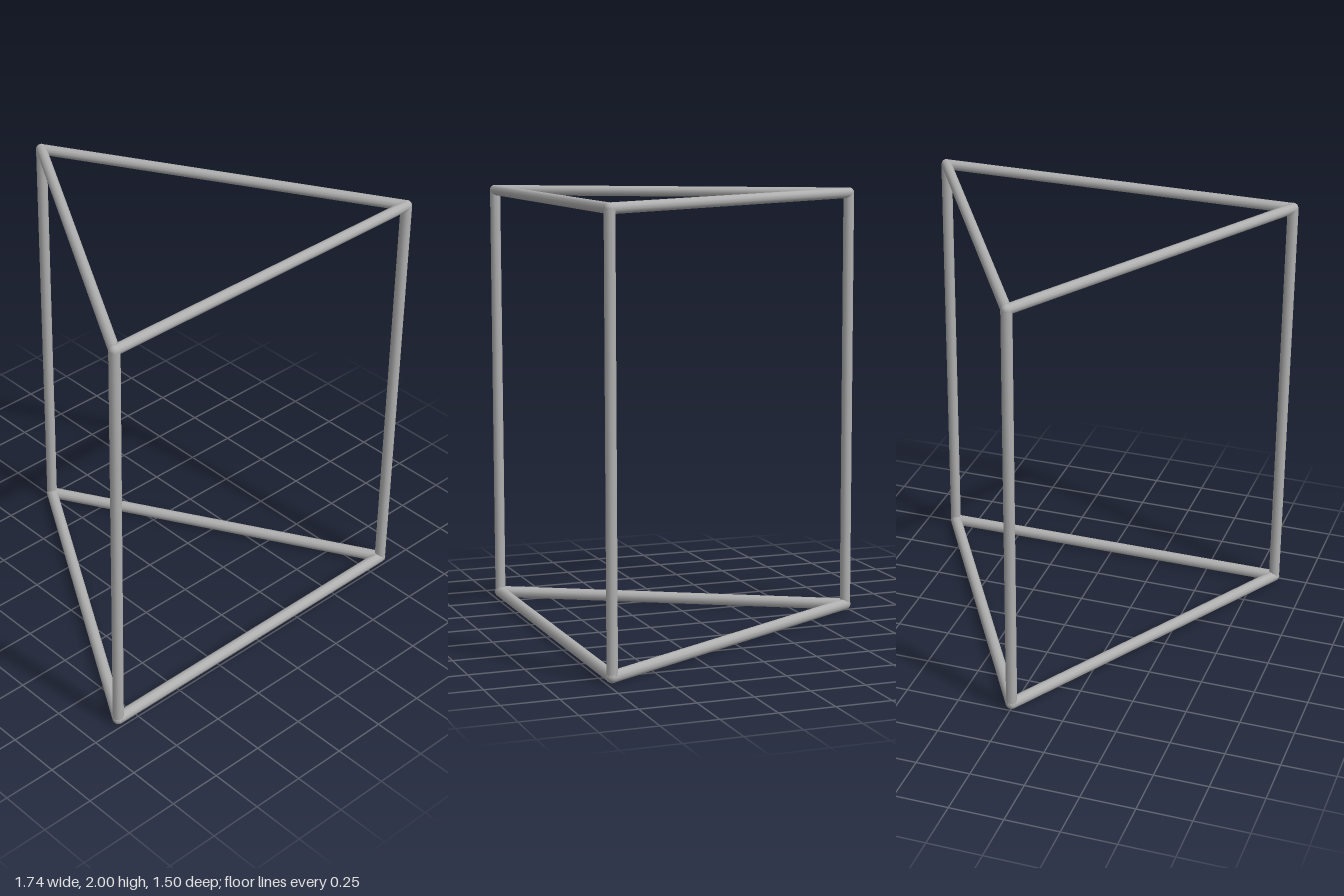
import * as THREE from 'three';

export function createModel() {
  const group = new THREE.Group();
  const grey = new THREE.MeshStandardMaterial({ color: 0xb0b0b0 });
  grey.name = 'grey';
  const SIDES = 10;
  const BOTTOM = 0.03, TOP = 1.975;

  // straight round bar between two points
  function bar(name, a, b, radius) {
    const dir = b.clone().sub(a);
    const mesh = new THREE.Mesh(new THREE.CylinderGeometry(radius, radius, dir.length(), SIDES), grey);
    mesh.position.copy(a).add(b).multiplyScalar(0.5);
    mesh.quaternion.setFromUnitVectors(new THREE.Vector3(0, 1, 0), dir.normalize());
    mesh.name = name;
    group.add(mesh);
  }

  // rounded joint closing the bar ends
  function joint(name, p, radius) {
    const mesh = new THREE.Mesh(new THREE.SphereGeometry(radius, SIDES, 8), grey);
    mesh.position.copy(p);
    mesh.name = name;
    group.add(mesh);
  }

  // triangle corners: front left, front right, back
  const corners = [['Left', 0.843, 0.722], ['Right', -0.843, 0.722], ['Back', 0, -0.73]];
  const edges = ['Front', 'RightSide', 'LeftSide'];
  const at = (i, y) => new THREE.Vector3(corners[i % 3][1], y, corners[i % 3][2]);

  for (let i = 0; i < 3; i++) {
    const corner = corners[i][0];
    bar('post' + corner, at(i, BOTTOM), at(i, TOP), 0.025);
    bar('bottomBar' + edges[i], at(i, BOTTOM), at(i + 1, BOTTOM), 0.027);
    bar('topBar' + edges[i], at(i, TOP), at(i + 1, TOP), 0.024);
    joint('bottomJoint' + corner, at(i, BOTTOM), 0.027);
    joint('topJoint' + corner, at(i, TOP), 0.025);
  }
  return group;
}
